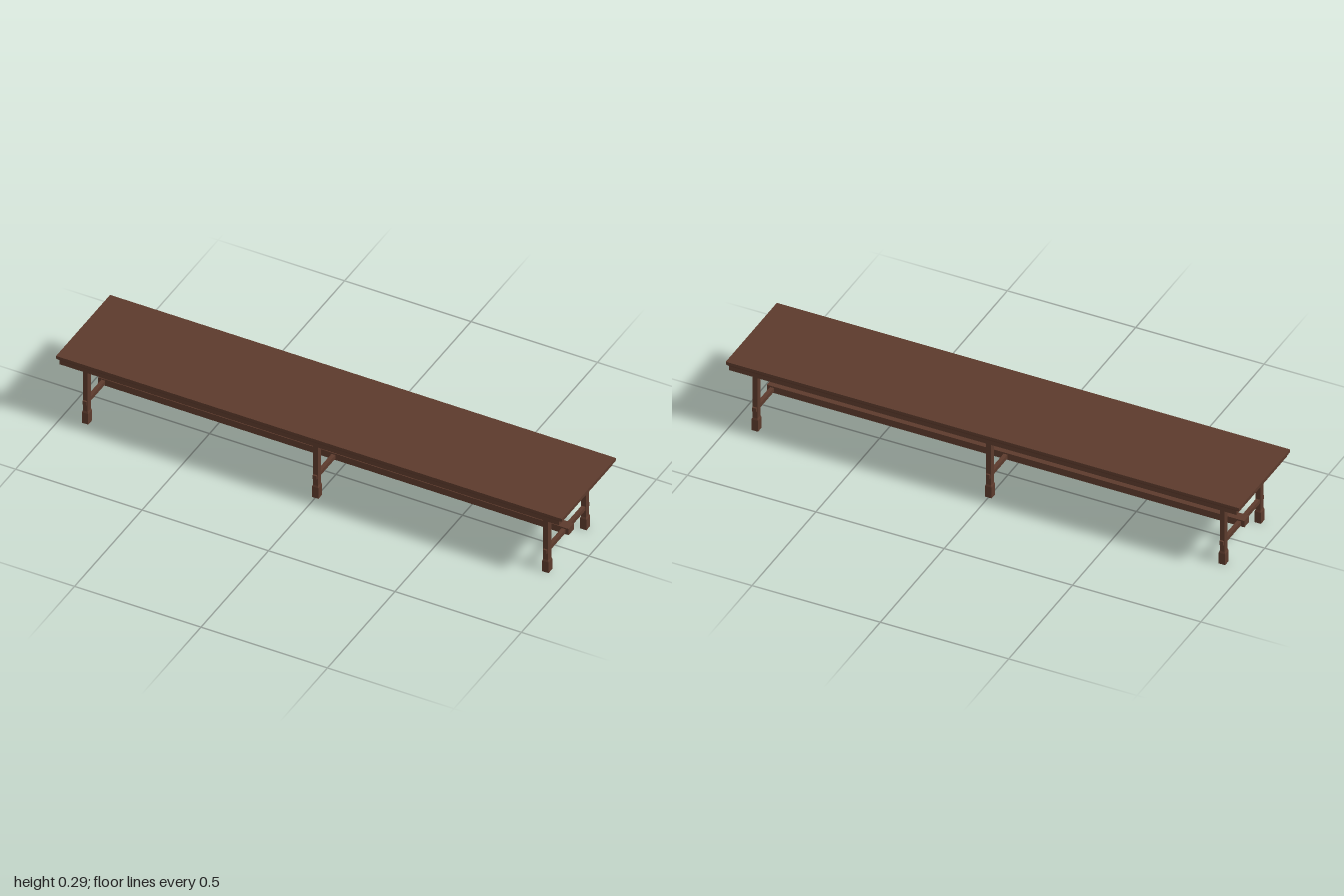
import * as THREE from 'three';

const wood = new THREE.MeshStandardMaterial({ color: 0x5c3a2c });
wood.name = 'dark brown wood';

// Solid with rectangular cross-sections; each ring is [y, halfX, halfZ], bottom to top
function loft(rings) {
  const pos = [];
  const corners = rings.map(([y, x, z]) => [[-x, y, z], [x, y, z], [x, y, -z], [-x, y, -z]]);
  const quad = (a, b, c, d) => pos.push(...a, ...b, ...c, ...a, ...c, ...d);
  for (let i = 0; i < corners.length - 1; i++) {
    for (let k = 0; k < 4; k++) {
      const n = (k + 1) % 4;
      quad(corners[i][k], corners[i][n], corners[i + 1][n], corners[i + 1][k]);
    }
  }
  const bottom = corners[0], top = corners[corners.length - 1];
  quad(bottom[3], bottom[2], bottom[1], bottom[0]);
  quad(top[0], top[1], top[2], top[3]);
  const geometry = new THREE.BufferGeometry();
  geometry.setAttribute('position', new THREE.Float32BufferAttribute(pos, 3));
  geometry.computeVertexNormals();
  return geometry;
}

export function createModel() {
  const group = new THREE.Group();
  group.name = 'longTable';
  const add = (name, geometry, x = 0, y = 0, z = 0) => {
    const mesh = new THREE.Mesh(geometry, wood);
    mesh.name = name;
    mesh.position.set(x, y, z);
    group.add(mesh);
  };

  // Top slab with an undercut edge above a slightly smaller lower board
  add('tableTop', loft([
    [0.262, 0.988, 0.198], [0.279, 0.988, 0.198],
    [0.284, 1, 0.2], [0.295, 1, 0.2],
  ]));

  // Square legs with a thick foot and cap, in three pairs joined by cross bars
  const leg = loft([
    [0, 0.0125, 0.014], [0.046, 0.0125, 0.014], [0.054, 0.0095, 0.012],
    [0.226, 0.0095, 0.012], [0.232, 0.015, 0.015], [0.263, 0.015, 0.015],
  ]);
  const crossBar = new THREE.BoxGeometry(0.015, 0.016, 0.318);
  for (const x of [-0.91, 0, 0.91]) {
    for (const z of [-0.14, 0.14]) add('leg', leg, x, 0, z);
    add('crossBar', crossBar, x, 0.092, 0);
  }

  // Long stretcher running through the cross bars
  add('longStretcher', new THREE.BoxGeometry(1.86, 0.027, 0.038), 0, 0.092, 0);

  return group;
}
